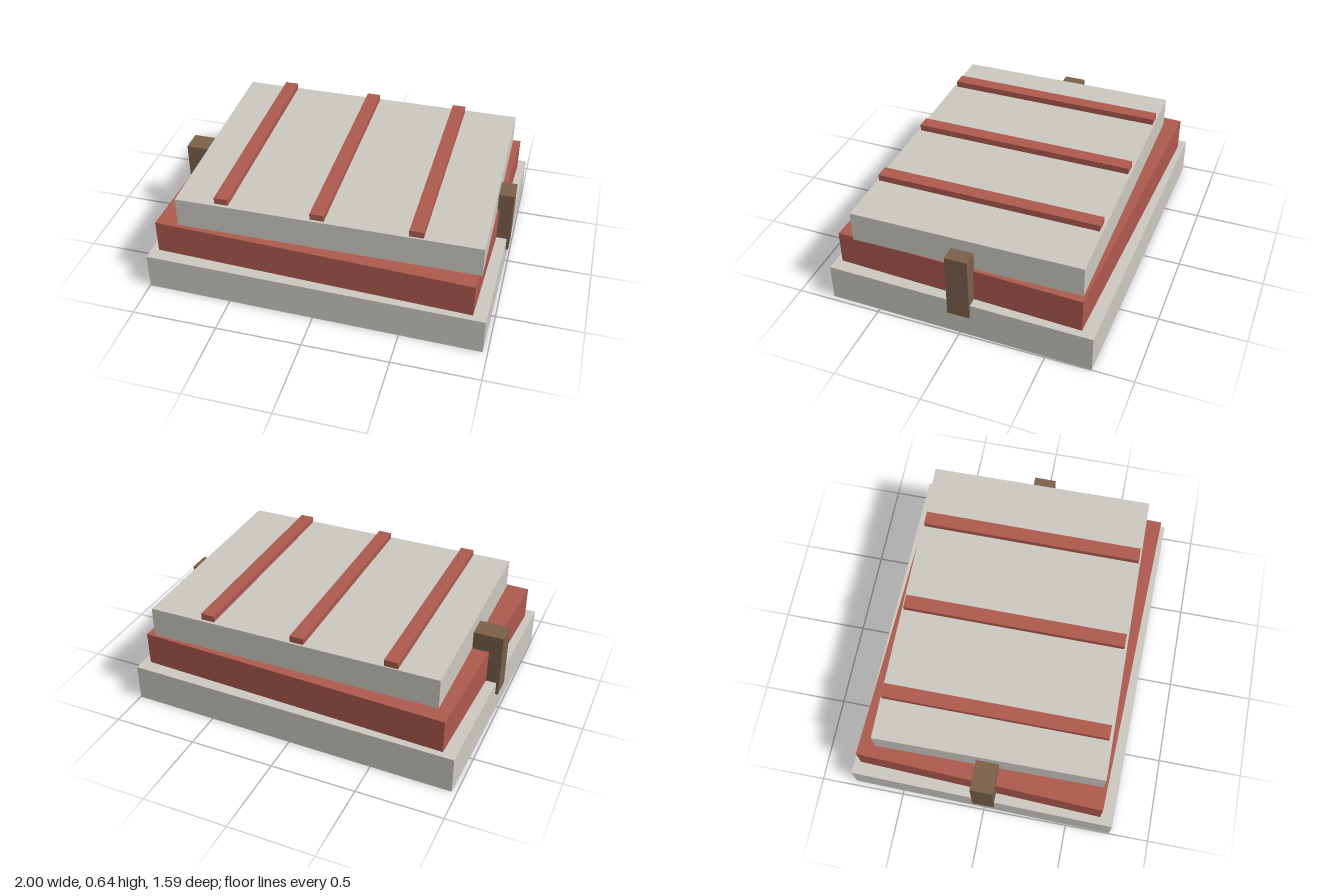
import * as THREE from 'three';

const stone = new THREE.MeshStandardMaterial({ color: 0xccc9c1 });
const clay = new THREE.MeshStandardMaterial({ color: 0xae5a4e });
const wood = new THREE.MeshStandardMaterial({ color: 0x7a604a });

export function createModel() {
  const model = new THREE.Group();
  model.name = 'stackedSlabs';

  // Box given by its size, centre in plan, base height and turn about y
  function addBox(name, material, [w, h, d], [x, base, z], turn = 0) {
    const mesh = new THREE.Mesh(new THREE.BoxGeometry(w, h, d), material);
    mesh.name = name;
    mesh.position.set(x, base + h / 2, z);
    mesh.rotation.y = turn;
    model.add(mesh);
  }

  // Three slabs, each turned slightly out of line
  addBox('bottomSlab', stone, [1.97, 0.22, 1.56], [0, 0, 0], -0.016);
  addBox('middleSlab', clay, [1.85, 0.2, 1.445], [0, 0.22, 0], -0.038);
  addBox('topSlab', stone, [1.735, 0.18, 1.33], [0.043, 0.42, -0.002], 0.008);

  // Raised strips across the top
  for (const x of [-0.553, -0.003, 0.548]) {
    addBox('topStrip', clay, [0.08, 0.038, 1.302], [x, 0.6, -0.003]);
  }

  // Clamps holding the slabs at both sides
  for (const side of [-1, 1]) {
    addBox('sideClamp', wood, [0.18, 0.39, 0.13], [side * 0.91, 0.14, 0]);
  }

  return model;
}
